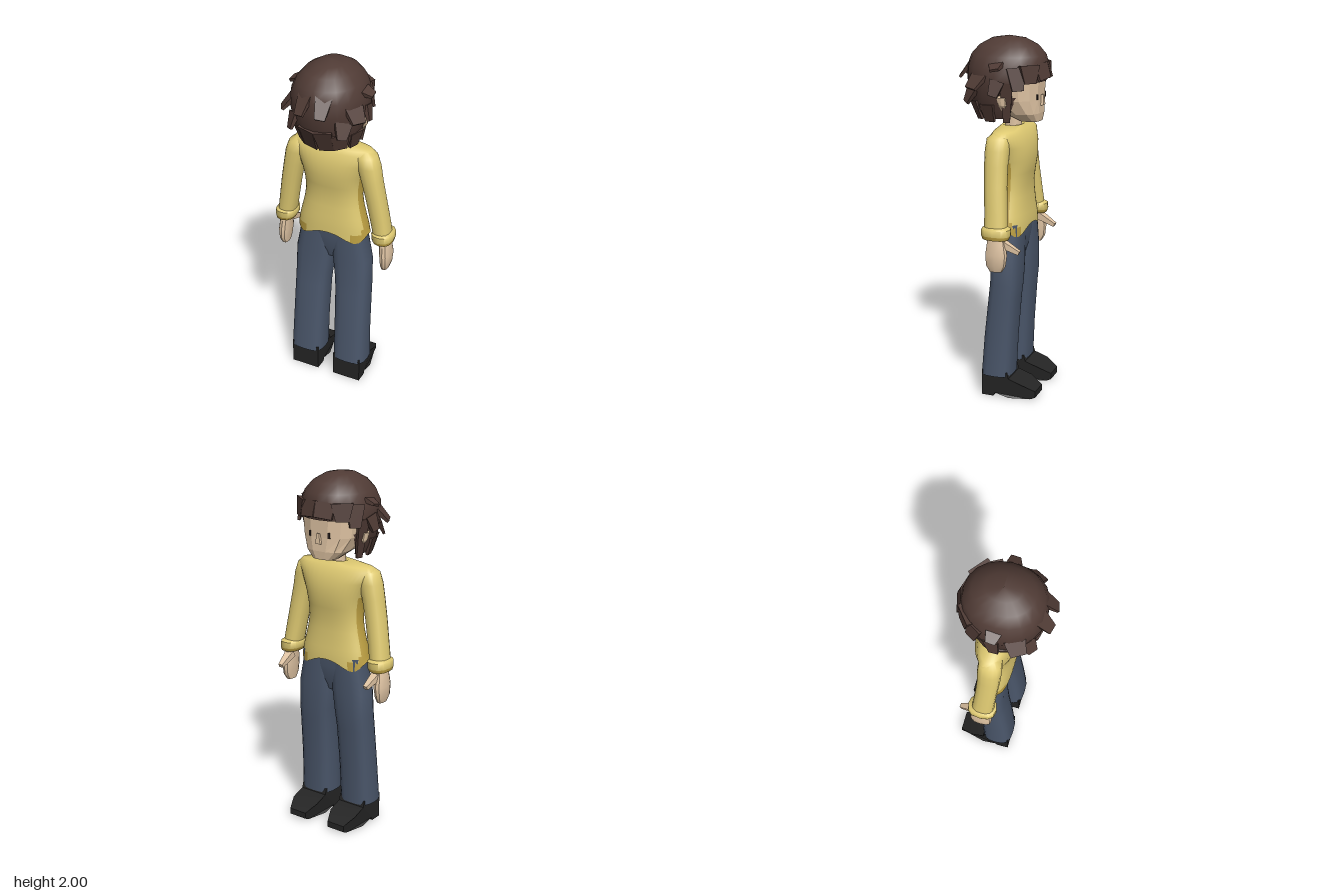
import * as THREE from 'three';
import { toCreasedNormals } from 'three/addons/utils/BufferGeometryUtils.js';

const mat = (name, color, side = THREE.FrontSide) => {
  const m = new THREE.MeshStandardMaterial({ color, side });
  m.name = name;
  return m;
};

// Stacks rounded-rectangle rings [y, centreX, centreZ, halfWidth, halfDepth], bottom to top.
// pick(centre, angle) returns the material slot of a quad, or -1 to leave it open.
function loft(rings, { seg = 20, power = 2.5, crease = 1, pick = () => 0, bend } = {}) {
  const pos = [], slots = [[], []];
  const round = (v) => Math.sign(v) * Math.abs(v) ** (2 / power);
  for (const [y, cx, cz, hw, hd] of rings) {
    for (let j = 0; j < seg; j++) {
      const a = (j / seg) * Math.PI * 2;
      const v = new THREE.Vector3(cx + hw * round(Math.cos(a)), y, cz + hd * round(Math.sin(a)));
      if (bend) bend(v, a);
      pos.push(v.x, v.y, v.z);
    }
  }
  const at = (i) => new THREE.Vector3().fromArray(pos, i * 3);
  for (let i = 0; i < rings.length - 1; i++) {
    for (let j = 0; j < seg; j++) {
      const k = (j + 1) % seg, a = i * seg + j, b = i * seg + k, c = a + seg, d = b + seg;
      const mid = at(a).add(at(d)).multiplyScalar(0.5);
      const slot = pick(mid, ((j + 0.5) / seg) * Math.PI * 2);
      if (slot >= 0) slots[slot].push(a, c, b, b, c, d);
    }
  }
  const geo = new THREE.BufferGeometry();
  geo.setAttribute('position', new THREE.Float32BufferAttribute(pos, 3));
  geo.setIndex([...slots[0], ...slots[1]]);
  geo.addGroup(0, slots[0].length, 0);
  geo.addGroup(slots[0].length, slots[1].length, 1);
  return toCreasedNormals(geo, crease);
}

// Flat tapered piece from root to tip, its broad side facing away from the head's axis
function tapered(root, tip, w0, w1, thick, out) {
  const r = new THREE.Vector3(...root), t = new THREE.Vector3(...tip);
  const y = r.clone().sub(t), len = y.length();
  y.normalize();
  const o = out ? new THREE.Vector3(...out) : new THREE.Vector3(r.x, 0, r.z + 0.015);
  const x = y.clone().cross(o).normalize(), z = x.clone().cross(y);
  const geo = new THREE.BoxGeometry(1, len, thick);
  const p = geo.attributes.position;
  for (let i = 0; i < p.count; i++) {
    p.setX(i, p.getX(i) * (p.getY(i) > 0 ? w0 : w1));
    if (p.getY(i) < 0) p.setZ(i, p.getZ(i) * 0.5);
  }
  geo.applyMatrix4(new THREE.Matrix4().makeBasis(x, y, z).setPosition(r.add(t).multiplyScalar(0.5)));
  return toCreasedNormals(geo, 0.1);
}

export function createModel() {
  const group = new THREE.Group();
  const skin = mat('skin', 0xe2c6a5), hair = mat('hair', 0x503b35, THREE.DoubleSide);
  const knit = mat('sweater', 0xdfca72, THREE.DoubleSide), trim = mat('sweaterTrim', 0xbc9f42, THREE.DoubleSide);
  const denim = mat('trousers', 0x4a566a, THREE.DoubleSide), leather = mat('shoes', 0x242424);
  const eyeDark = mat('eyes', 0x2a211f);
  const add = (name, geo, material) => {
    const m = new THREE.Mesh(geo, material);
    m.name = name;
    group.add(m);
    return m;
  };

  // Head, faceted, with a flat face towards -z
  add('head', loft([
    [1.545, 0, -0.14, 0.001, 0.001], [1.55, 0, -0.145, 0.07, 0.06], [1.595, 0, -0.105, 0.125, 0.105],
    [1.67, 0, -0.04, 0.165, 0.168], [1.77, 0, -0.03, 0.178, 0.18], [1.87, 0, -0.02, 0.15, 0.16],
    [1.92, 0, -0.02, 0.001, 0.001],
  ], { seg: 14, power: 2.7, crease: 0.05 }), skin);
  add('neck', loft([
    [1.46, 0, -0.045, 0.05, 0.05], [1.52, 0, -0.045, 0.045, 0.045], [1.64, 0, -0.05, 0.05, 0.05],
  ], { seg: 10, power: 2 }), skin);
  add('nose', tapered([0, 1.69, -0.203], [0, 1.635, -0.214], 0.012, 0.034, 0.03, [0, 0, -1]), skin);

  // Sweater body with a zigzag hem and darker hem and flanks
  add('sweaterBody', loft([
    [0.955, 0, -0.058, 0.215, 0.1], [0.985, 0, -0.058, 0.211, 0.1], [1.015, 0, -0.057, 0.206, 0.099],
    [1.045, 0, -0.056, 0.199, 0.097], [1.08, 0, -0.055, 0.19, 0.094], [1.14, 0, -0.055, 0.175, 0.09],
    [1.2, 0, -0.055, 0.166, 0.088], [1.27, 0, -0.055, 0.168, 0.098], [1.34, 0, -0.053, 0.18, 0.111],
    [1.42, 0, -0.051, 0.212, 0.106], [1.485, 0, -0.048, 0.245, 0.087], [1.507, 0, -0.046, 0.225, 0.07],
    [1.525, 0, -0.045, 0.07, 0.055], [1.515, 0, -0.045, 0.04, 0.04],
  ], {
    seg: 40, power: 2.4,
    bend: (v, a) => { if (v.y < 0.96) v.y += 0.024 * Math.cos(4 * a); },
    pick: (p, a) => {
      const side = Math.abs(Math.cos(a));
      return p.y < 0.945 + 0.1 * side ** 4 || (side > 0.95 && p.y < 1.36) ? 1 : 0;
    },
  }), [knit, trim]);

  // Trousers
  add('hips', loft([
    [0.79, 0, -0.06, 0.1, 0.05], [0.86, 0, -0.06, 0.17, 0.07], [0.93, 0, -0.06, 0.195, 0.078],
    [1.0, 0, -0.058, 0.2, 0.08],
  ]), denim);

  for (const [side, s] of [['left', 1], ['right', -1]]) {
    const part = (name, geo, material) => add(side + name, geo, material);

    // Ear, eye
    part('Ear', loft([
      [1.62, s * 0.165, -0.05, 0.008, 0.012], [1.65, s * 0.175, -0.05, 0.016, 0.026],
      [1.69, s * 0.18, -0.045, 0.018, 0.03], [1.715, s * 0.175, -0.045, 0.008, 0.018],
    ], { seg: 8, crease: 0.05 }), skin);
    const eye = part('Eye', new THREE.BoxGeometry(0.012, 0.03, 0.009), eyeDark);
    eye.position.set(s * 0.062, 1.685, -0.202);

    // Sleeve with a rolled cuff
    part('Sleeve', loft([
      [0.98, s * 0.3, -0.06, 0.05, 0.062], [1.1, s * 0.28, -0.052, 0.052, 0.06],
      [1.23, s * 0.257, -0.042, 0.054, 0.06], [1.34, s * 0.234, -0.036, 0.057, 0.062],
      [1.42, s * 0.216, -0.036, 0.062, 0.064], [1.48, s * 0.2, -0.036, 0.057, 0.06],
      [1.505, s * 0.19, -0.036, 0.03, 0.03],
    ], { seg: 16 }), knit);
    part('Cuff', loft([
      [0.965, s * 0.305, -0.062, 0.03, 0.045], [0.955, s * 0.304, -0.062, 0.052, 0.072],
      [0.975, s * 0.301, -0.062, 0.06, 0.081], [1.01, s * 0.299, -0.061, 0.06, 0.08],
      [1.022, s * 0.297, -0.06, 0.045, 0.058],
    ], { seg: 12, pick: (p) => (p.y < 0.99 ? 1 : 0) }), [knit, trim]);

    // Hand and thumb
    part('Hand', loft([
      [0.77, s * 0.315, -0.065, 0.001, 0.001], [0.775, s * 0.315, -0.065, 0.018, 0.035],
      [0.81, s * 0.318, -0.066, 0.026, 0.056], [0.87, s * 0.317, -0.068, 0.032, 0.062],
      [0.93, s * 0.312, -0.066, 0.03, 0.052], [0.99, s * 0.305, -0.062, 0.03, 0.045],
    ], { seg: 12, crease: 0.6 }), skin);
    part('Thumb', tapered([s * 0.3, 0.935, -0.09], [s * 0.292, 0.885, -0.19], 0.05, 0.026, 0.042, [0, 1, 0]), skin);

    // Trouser leg
    part('Leg', loft([
      [0.14, s * 0.137, -0.02, 0.03, 0.03], [0.125, s * 0.1375, -0.015, 0.1025, 0.09],
      [0.35, s * 0.133, -0.028, 0.1, 0.087], [0.58, s * 0.128, -0.048, 0.102, 0.083],
      [0.66, s * 0.124, -0.056, 0.105, 0.083], [0.8, s * 0.114, -0.06, 0.112, 0.081],
      [0.93, s * 0.1, -0.06, 0.1, 0.079], [1.0, s * 0.1, -0.06, 0.1, 0.077],
    ], { seg: 20, power: 3 }), denim);

    // Shoe: side outline extruded across, narrowed at the toe
    const outline = [[-0.06, 0], [0.01, 0], [0.02, 0.02], [0.1, 0], [0.22, 0], [0.25, 0.015], [0.25, 0.05],
      [0.18, 0.088], [0.1, 0.115], [0.09, 0.15], [-0.06, 0.15]].map((p) => new THREE.Vector2(...p));
    const shoe = new THREE.ExtrudeGeometry(new THREE.Shape(outline), { depth: 0.17, bevelEnabled: false });
    shoe.translate(0, 0, -0.085).rotateY(Math.PI / 2);
    const p = shoe.attributes.position;
    for (let i = 0; i < p.count; i++) if (p.getZ(i) < -0.2) p.setX(i, p.getX(i) * 0.65);
    part('Shoe', toCreasedNormals(shoe, 0.5), leather).position.x = s * 0.135;

    // Loose locks: [root, tip, root width, tip width]
    const locks = [
      [[0.05, 1.87, 0.165], [0.06, 1.775, 0.24], 0.09, 0.055],
      [[0.17, 1.8, 0.08], [0.222, 1.735, 0.115], 0.11, 0.08],
      [[0.14, 1.73, 0.13], [0.15, 1.65, 0.17], 0.1, 0.05],
      [[0.185, 1.86, -0.02], [0.238, 1.84, -0.025], 0.08, 0.05],
      [[0.2, 1.78, -0.03], [0.225, 1.7, -0.01], 0.08, 0.05],
      [[0.17, 1.85, -0.12], [0.185, 1.73, -0.14], 0.1, 0.06],
      [[0.19, 1.77, -0.075], [0.155, 1.555, -0.065], 0.07, 0.035],
      [[0.17, 1.65, 0.04], [0.15, 1.555, 0.03], 0.09, 0.06],
      [[0.12, 1.66, 0.13], [0.11, 1.56, 0.1], 0.1, 0.07],
      [[0.045, 1.68, 0.18], [0.045, 1.55, 0.125], 0.1, 0.08],
      [[0.05, 1.86, -0.21], [0.05, 1.78, -0.24], 0.11, 0.1],
      [[0.13, 1.86, -0.18], [0.14, 1.765, -0.19], 0.12, 0.07],
    ];
    for (const [root, tip, w0, w1] of locks) {
      const flip = ([x, y, z]) => [s * x, y, z];
      part('HairLock', tapered(flip(root), flip(tip), w0, w1, 0.028), hair);
    }
  }

  // Hair cap, open over the face
  add('hairCap', loft([
    [1.57, 0, 0.01, 0.155, 0.12], [1.62, 0, 0.01, 0.178, 0.16], [1.69, 0, 0, 0.192, 0.195],
    [1.765, 0, -0.01, 0.21, 0.215], [1.84, 0, -0.015, 0.205, 0.22], [1.9, 0, -0.018, 0.178, 0.203],
    [1.95, 0, -0.02, 0.135, 0.16], [1.985, 0, -0.02, 0.075, 0.095], [2.0, 0, -0.02, 0.001, 0.001],
  ], { seg: 20, power: 2.1, crease: 0.8, pick: (p) => (p.z < -0.08 && p.y < 1.75 ? -1 : 0) }), hair);

  return group;
}
